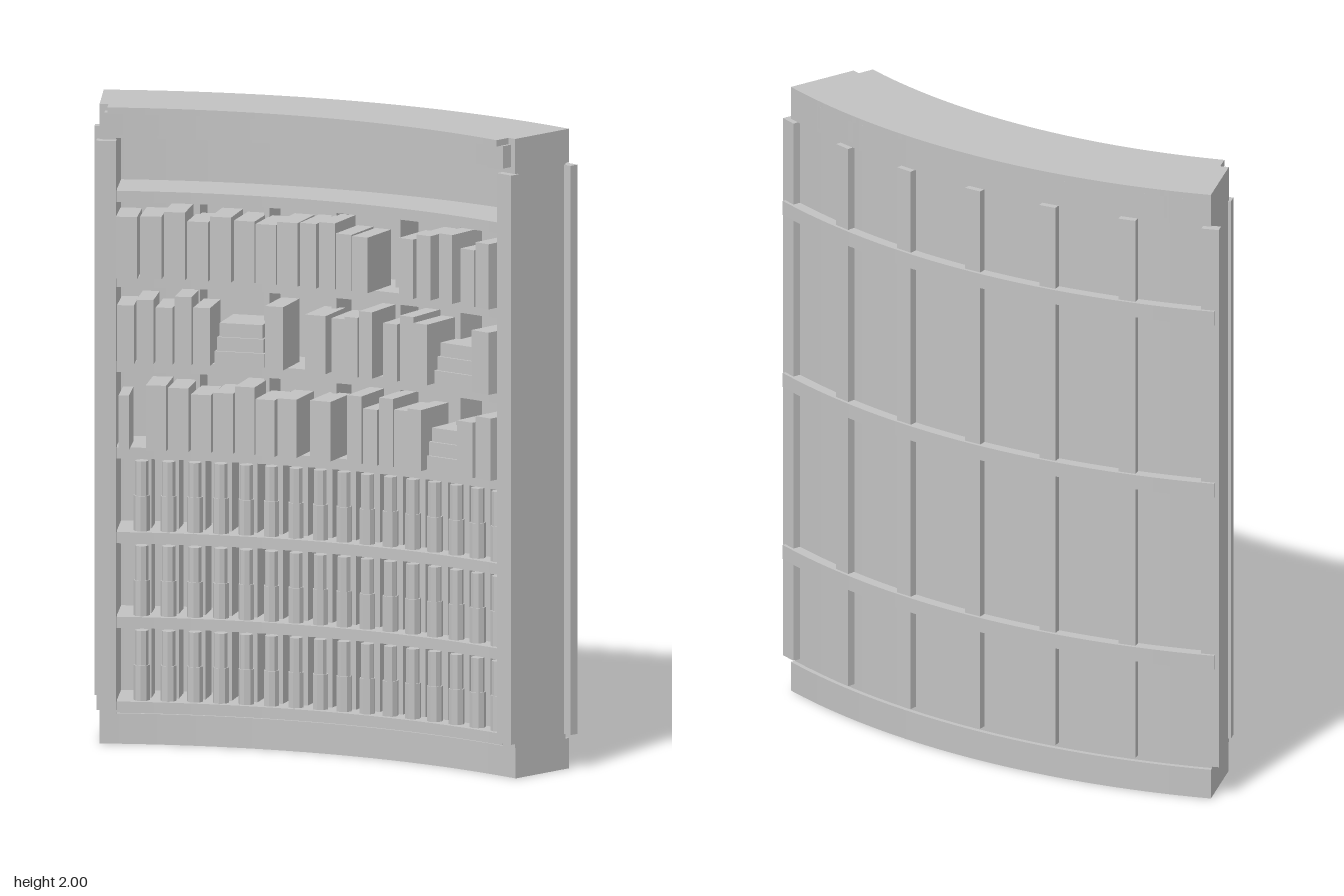
import * as THREE from 'three';

const ZC = 2.01; // centre of curvature, in front of the case
const RAD = Math.PI / 180;
const END = 20.8; // half angle of the case, in degrees

export function createModel() {
  const model = new THREE.Group();
  model.name = 'curvedBookcase';
  const grey = new THREE.MeshStandardMaterial({ color: 0xc2c2c2 });
  grey.name = 'pale grey';

  function add(name, geometry, parent = model) {
    const mesh = new THREE.Mesh(geometry, grey);
    mesh.name = name;
    parent.add(mesh);
    return mesh;
  }
  function group(name) {
    const g = new THREE.Group();
    g.name = name;
    model.add(g);
    return g;
  }
  // Ring sector between two radii, two angles (degrees) and two heights
  function arcBlock(name, r0, r1, a0, a1, y0, y1) {
    const n = Math.max(1, Math.ceil((a1 - a0) / 1.75));
    const pts = [];
    const put = (r, a) => pts.push(new THREE.Vector2(r * Math.sin(a * RAD), r * Math.cos(a * RAD) - ZC));
    for (let i = 0; i <= n; i++) put(r0, a0 + (a1 - a0) * i / n);
    for (let i = n; i >= 0; i--) put(r1, a0 + (a1 - a0) * i / n);
    const geo = new THREE.ExtrudeGeometry(new THREE.Shape(pts), { depth: y1 - y0, bevelEnabled: false });
    geo.rotateX(-Math.PI / 2);
    geo.translate(0, y0, 0);
    add(name, geo);
  }
  // Place a mesh on the arc, facing the centre of curvature
  function place(mesh, r, a, y) {
    mesh.position.set(r * Math.sin(a), y, ZC - r * Math.cos(a));
    mesh.rotation.y = -a;
  }

  // Carcass: plinth, cornice, back panel and side walls
  arcBlock('plinth', 1.968, 2.2, -END, END, 0, 0.095);
  arcBlock('corniceLip', 1.912, 2.2, -20, 20, 1.98, 2);
  arcBlock('cornice', 1.93, 2.2, -20.3, 20.3, 1.91, 1.98);
  arcBlock('topBoard', 1.965, 2.2, -END, END, 1.895, 2);
  arcBlock('backPanel', 2.15, 2.185, -END, END, 0.095, 1.895);
  for (const s of [-1, 1]) {
    const span = (a, b) => (s > 0 ? [a, b] : [-b, -a]);
    arcBlock('sideWall', 1.965, 2.185, ...span(19.3, END), 0.095, 1.895);
    arcBlock('pilaster', 1.94, 1.975, ...span(19.25, 21.05), 0.11, 1.89);
  }

  // Shelves
  const shelfTops = [0.133, 0.398, 0.663, 0.928, 1.198, 1.464, 1.73];
  for (const y of shelfTops) arcBlock('shelf', 1.962, 2.15, -19.3, 19.3, y - 0.035, y);

  // Back battens
  for (let i = -3; i <= 3; i++) {
    const a = i * 6.93;
    arcBlock('uprightBatten', 2.18, 2.21, a - 0.72, a + 0.72, 0.11, 1.89);
  }
  for (const y of [0.435, 1.005, 1.575]) arcBlock('crossBatten', 2.18, 2.22, -21.2, 21.2, y, y + 0.047);

  // Thin partitions behind the books
  for (const y of shelfTops.slice(3, 6))
    for (let i = -2; i <= 2; i++) arcBlock('partition', 2.04, 2.15, i * 6.2 - 0.25, i * 6.2 + 0.25, y, y + 0.236);

  // Lower rows of slender upright rolls with slabs behind
  const rolls = group('lowerRows');
  for (const y of shelfTops.slice(0, 3)) {
    for (let i = 0; i < 16; i++) {
      const a = Math.asin((-0.592 + i * 0.0805) / 2.01);
      const lower = new THREE.CylinderGeometry(0.025, 0.025, 0.11, 8).toNonIndexed();
      const upper = new THREE.CylinderGeometry(0.021, 0.021, 0.11, 8).toNonIndexed();
      for (const g of [lower, upper]) g.computeVertexNormals();
      place(add('rollLower', lower, rolls), 2.0, a, y + 0.055);
      place(add('rollUpper', upper, rolls), 2.0, a, y + 0.163);
      place(add('slab', new THREE.BoxGeometry(0.054, 0.217, 0.09), rolls), 2.075, a, y + 0.1085);
    }
  }

  // Upper rows: runs of evenly spaced standing books [left, right, count] and flat piles [left, right]
  const rows = [
    {
      runs: [[-0.63, -0.595, 1], [-0.55, -0.07, 7], [-0.025, 0.05, 1], [0.1, 0.37, 5], [0.495, 0.63, 2]],
      piles: [[0.36, 0.49]],
    },
    {
      runs: [[-0.635, -0.35, 5], [-0.18, -0.115, 1], [-0.045, 0.03, 1], [0.045, 0.19, 3], [0.225, 0.39, 3], [0.555, 0.63, 1]],
      piles: [[-0.345, -0.185], [0.39, 0.55]],
    },
    {
      runs: [[-0.64, -0.065, 8], [-0.06, 0.175, 4], [0.285, 0.4, 2], [0.43, 0.485, 1], [0.51, 0.625, 2]],
      piles: [],
    },
  ];
  const books = group('books');
  const DEPTH = 0.15;
  let seed = 5;
  const random = () => (seed = (seed * 16807) % 2147483647) / 2147483647;
  function book(name, width, height, x, y, front) {
    const box = new THREE.BoxGeometry(width, height, DEPTH);
    place(add(name, box, books), front + DEPTH / 2, Math.asin(x / 1.93), y + height / 2);
  }
  rows.forEach(({ runs, piles }, row) => {
    const y = shelfTops[row + 3];
    for (const [left, right, count] of runs) {
      const pitch = (right - left) / count;
      for (let i = 0; i < count; i++) {
        const height = 0.17 + 0.045 * random();
        book('standingBook', pitch * 0.92, height, left + pitch * (i + 0.5), y, 1.907 + 0.02 * random());
      }
    }
    for (const [left, right] of piles)
      for (let j = 0; j < 3; j++)
        book('pileBook', right - left - 0.012 * j, 0.043, (left + right) / 2, y + 0.043 * j, 1.945 + 0.008 * j);
  });
  return model;
}
